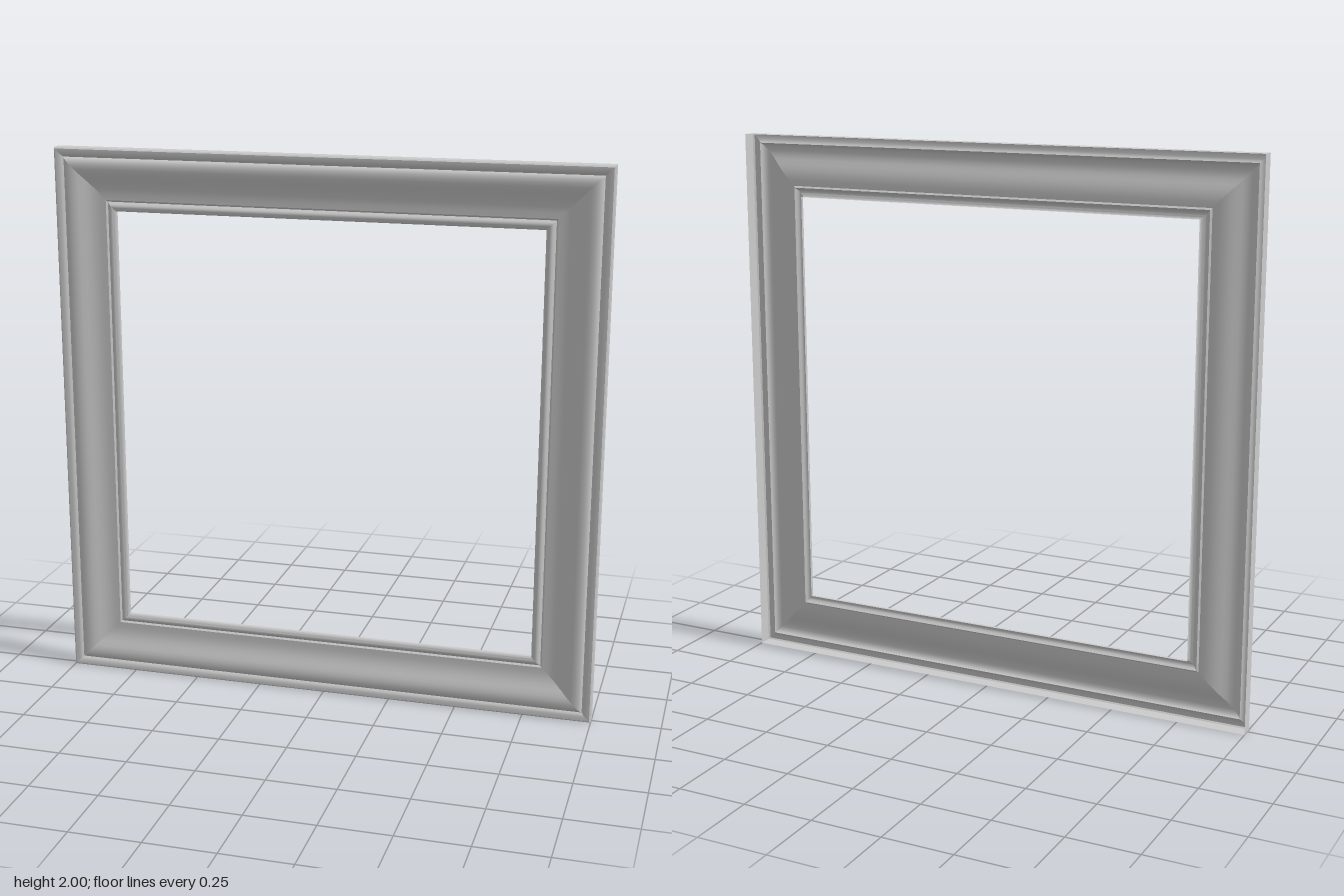
import * as THREE from 'three';
import { toCreasedNormals } from 'three/addons/utils/BufferGeometryUtils.js';

// Moulding section: [distance in from the outer edge, z]
const PROFILE = [
  [0, -0.03], [0, 0.019], [0.005, 0.024], [0.022, 0.024], [0.029, 0.02], // outer wall and rim
  [0.034, 0.015], [0.038, 0.022], [0.047, 0.028], [0.06, 0.03],          // groove and crest
  [0.075, 0.029], [0.09, 0.025], [0.108, 0.017], [0.126, 0.01],          // ogee slope
  [0.145, 0.005], [0.165, 0.003], [0.186, 0.003],
  [0.192, -0.003], [0.197, 0.003], [0.203, 0.008], [0.211, 0.01],        // inner bead
  [0.219, 0.008], [0.225, 0.002], [0.225, -0.01],                        // lip
];

// One mitred bar, open at the back, along the top of a 2 x 2 square
function barGeometry() {
  const positions = [];
  for (let i = 0; i < PROFILE.length - 1; i++) {
    const [d0, z0] = PROFILE[i];
    const [d1, z1] = PROFILE[i + 1];
    const a = [d0 - 1, 1 - d0, z0];
    const b = [1 - d0, 1 - d0, z0];
    const c = [1 - d1, 1 - d1, z1];
    const d = [d1 - 1, 1 - d1, z1];
    positions.push(...d, ...c, ...b, ...d, ...b, ...a);
  }
  const geometry = new THREE.BufferGeometry();
  geometry.setAttribute('position', new THREE.Float32BufferAttribute(positions, 3));
  return toCreasedNormals(geometry, 0.7);
}

export function createModel() {
  const model = new THREE.Group();
  model.name = 'pictureFrame';
  const material = new THREE.MeshStandardMaterial({ color: 0xcccccc, side: THREE.DoubleSide });
  const geometry = barGeometry();

  // Four mitred bars, a quarter turn apart
  ['topBar', 'rightBar', 'bottomBar', 'leftBar'].forEach((name, i) => {
    const bar = new THREE.Mesh(geometry, material);
    bar.name = name;
    bar.position.y = 1;
    bar.rotation.z = (i * Math.PI) / 2;
    model.add(bar);
  });
  return model;
}
